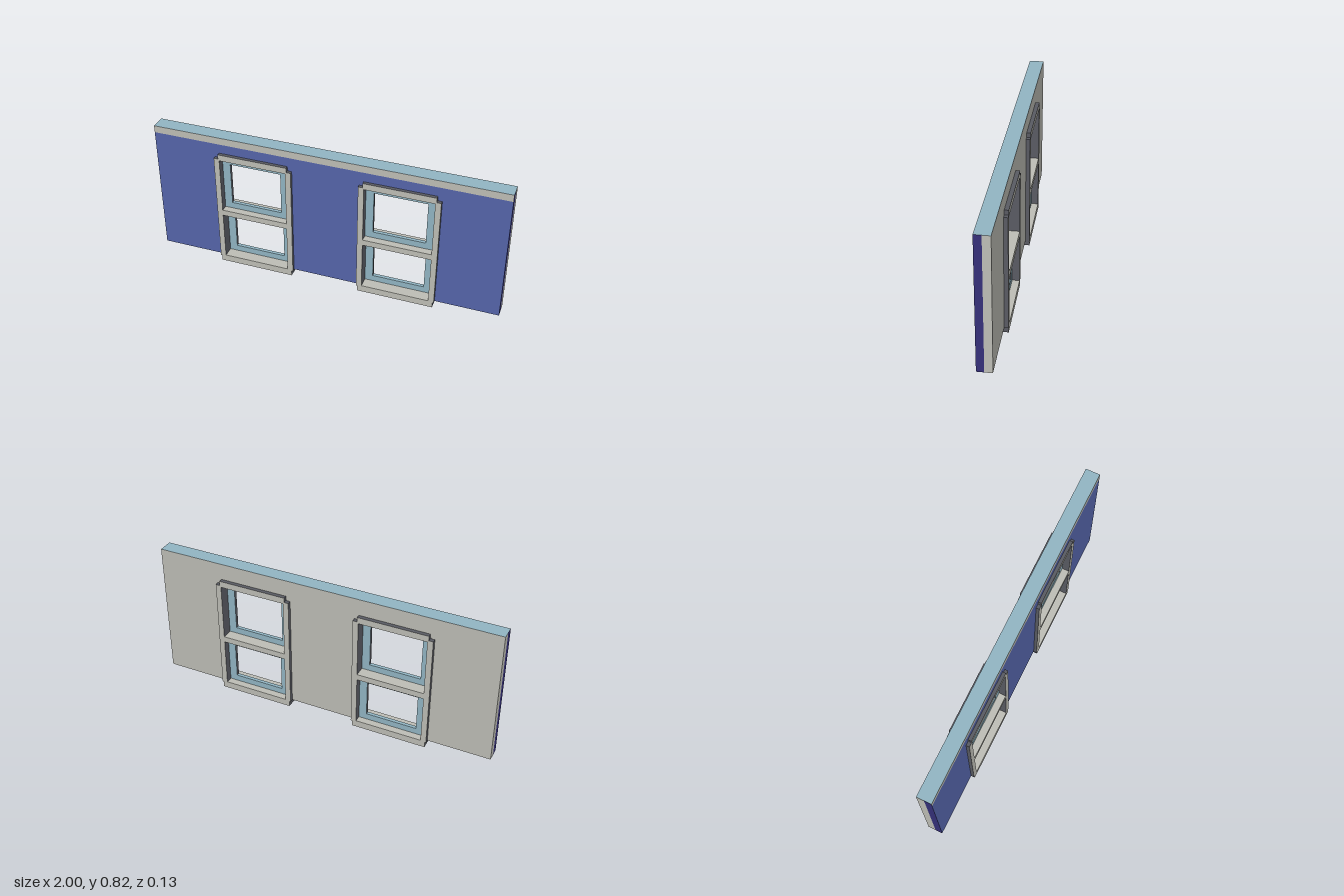
import * as THREE from 'three';

function material(name, color) {
  return new THREE.MeshStandardMaterial({ name, color });
}

function rect(P, x0, x1, y0, y1) {
  const p = new P();
  p.moveTo(x0, y0);
  p.lineTo(x1, y0);
  p.lineTo(x1, y1);
  p.lineTo(x0, y1);
  p.closePath();
  return p;
}

// Extrudes a shape between two depths and assigns a material index to each
// triangle from its normal and height.
function slab(name, shape, z0, z1, materials, pick) {
  let geo = new THREE.ExtrudeGeometry(shape, { depth: z1 - z0, bevelEnabled: false });
  geo.translate(0, 0, z0);
  if (geo.index) geo = geo.toNonIndexed();
  geo.clearGroups();
  const pos = geo.attributes.position, nor = geo.attributes.normal;
  for (let i = 0; i < pos.count; i += 3) {
    const n = new THREE.Vector3().fromBufferAttribute(nor, i);
    geo.addGroup(i, 3, pick(n, pos.getY(i)));
  }
  const mesh = new THREE.Mesh(geo, materials);
  mesh.name = name;
  return mesh;
}

export function createModel() {
  const blue = material('wallBlue', 0x5666ac);
  const navy = material('endNavy', 0x35307a);
  const stone = material('stoneGrey', 0xc0c0b8);
  const sky = material('paleBlue', 0x93b7c5);
  const slate = material('slateGrey', 0x5a5c64);

  const model = new THREE.Group();
  model.name = 'windowWall';

  const centres = [-0.415, 0.415];
  const bottom = 0.033, bandY = 0.782, top = 0.823;
  const zFront = 0.044, zMid = 0.003, zBack = -0.04;

  // Material order for wall slabs: face, ends, top, underside
  const wallPick = (n) => (Math.abs(n.z) > 0.5 ? 0 : Math.abs(n.x) > 0.5 ? 1 : n.y > 0 ? 2 : 3);
  const wallShape = (y1) => {
    const s = rect(THREE.Shape, -1, 1, bottom, y1);
    for (const c of centres) s.holes.push(rect(THREE.Path, c - 0.205, c + 0.205, 0.036, 0.705));
    return s;
  };

  // Wall: painted front layer, plain band above it, plain back layer
  model.add(slab('wallFront', wallShape(bandY), zMid, zFront, [blue, navy, sky, slate], wallPick));
  model.add(slab('wallTopBand', rect(THREE.Shape, -1, 1, bandY, top), zMid, zFront,
    [stone, navy, sky, slate], wallPick));
  model.add(slab('wallBack', wallShape(top), zBack, zMid, [stone, stone, sky, slate], wallPick));

  // Faces and ledges take the light colour, reveals and outer sides the dark one
  const trimPick = (n, y) => (Math.abs(n.z) > 0.5 || (n.y > 0.5 && y < 0.65) ? 0 : 1);

  const openings = [[0.04, 0.325], [0.36, 0.69]];
  const panes = [[0.076, 0.29], [0.397, 0.65]];
  const sashDepth = [[-0.022, -0.002], [0.002, 0.022]];

  for (const c of centres) {
    const win = new THREE.Group();
    win.name = c < 0 ? 'rightWindow' : 'leftWindow';
    win.position.x = c;

    // Casing outline, with narrower sill and stepped head
    const half = [[0.2175, 0], [0.2175, bottom], [0.225, bottom], [0.225, 0.7], [0.2, 0.7], [0.2, 0.727]];
    const outline = [...half, ...half.map(([x, y]) => [-x, y]).reverse()];
    const casing = new THREE.Shape(outline.map(([x, y]) => new THREE.Vector2(x, y)));
    for (const [y0, y1] of openings) casing.holes.push(rect(THREE.Path, -0.193, 0.193, y0, y1));
    win.add(slab('casing', casing, -0.063, 0.063, [stone, slate], trimPick));

    // Lower sash sits behind the upper one
    openings.forEach(([y0, y1], i) => {
      const sash = rect(THREE.Shape, -0.193, 0.193, y0, y1);
      sash.holes.push(rect(THREE.Path, -0.148, 0.148, ...panes[i]));
      win.add(slab(i ? 'upperSash' : 'lowerSash', sash, ...sashDepth[i], [sky, slate], trimPick));
    });
    model.add(win);
  }
  return model;
}
